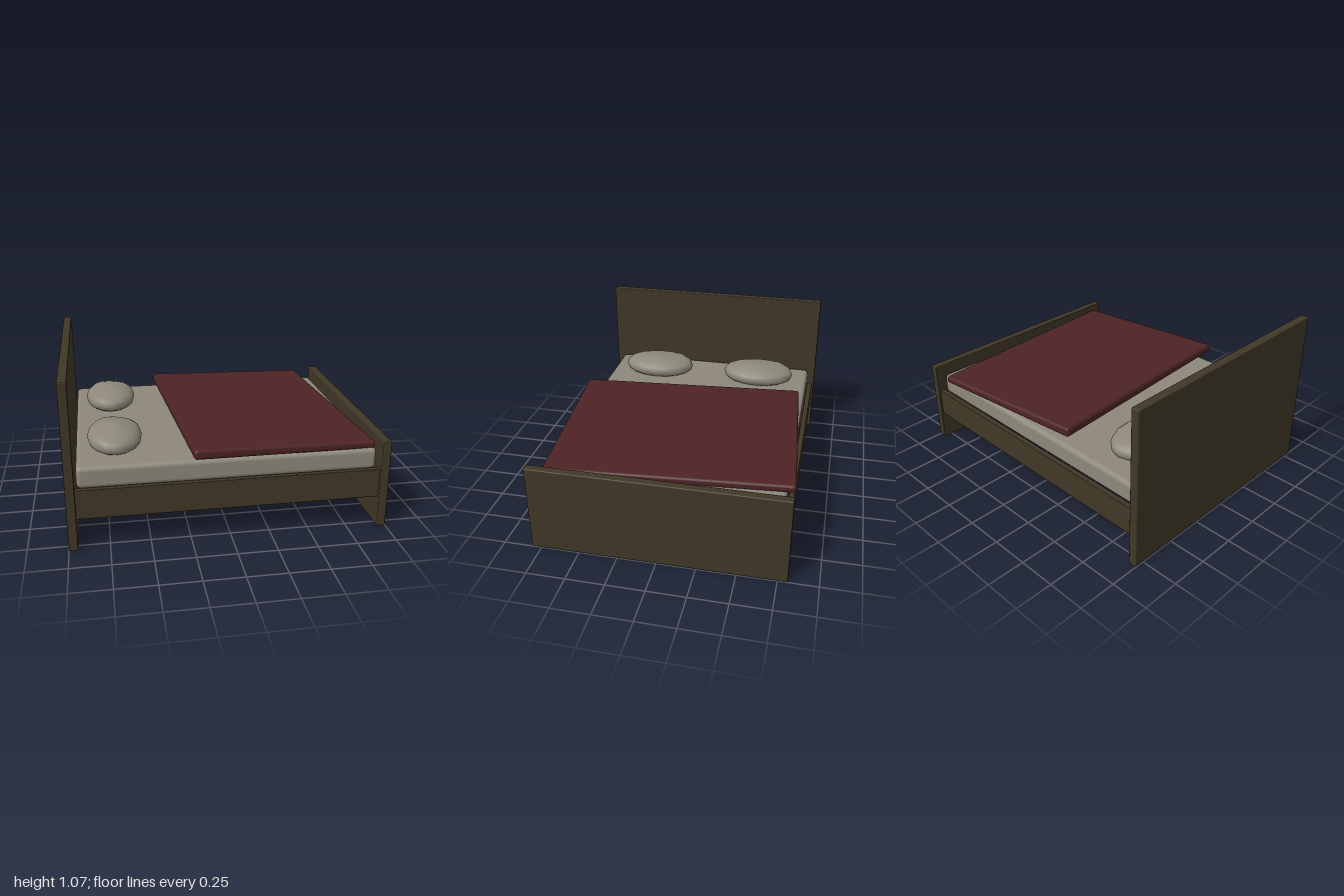
import * as THREE from 'three';
import { RoundedBoxGeometry } from 'three/addons/geometries/RoundedBoxGeometry.js';

const wood = new THREE.MeshStandardMaterial({ color: 0x403726 });
wood.name = 'dark wood';
const linen = new THREE.MeshStandardMaterial({ color: 0x8d887a });
linen.name = 'grey linen';
const red = new THREE.MeshStandardMaterial({ color: 0x4d2324 });
red.name = 'dark red wool';

// Softened block given by its minimum and maximum corners
function block(name, min, max, radius, segments, material) {
  const size = max.map((v, i) => v - min[i]);
  const mesh = new THREE.Mesh(new RoundedBoxGeometry(...size, segments, radius), material);
  mesh.position.set(...max.map((v, i) => (v + min[i]) / 2));
  mesh.name = name;
  return mesh;
}

// Lumpy cushion with a rounded outline and a flattened underside
function pillow(name, z, seed) {
  const geo = new THREE.SphereGeometry(1, 16, 10);
  const p = geo.attributes.position;
  for (let i = 0; i < p.count; i++) {
    const x = p.getX(i), y = p.getY(i), w = p.getZ(i);
    const lump = 0.05 * Math.sin(4 * x + seed) * Math.cos(3.5 * w - seed);
    const plump = Math.sign(y) * Math.pow(Math.abs(y), 0.8);
    const height = y > 0 ? plump * 0.074 * (1 + 2 * lump) : Math.max(plump * 0.075, -0.052);
    p.setXYZ(i, x * 0.174 * (1 + lump * 0.3), height, w * 0.262);
  }
  geo.computeVertexNormals();
  const mesh = new THREE.Mesh(geo, linen);
  mesh.position.set(-0.685, 0.567, z);
  mesh.name = name;
  return mesh;
}

// Stiff blanket, thinner towards the foot, lying askew
function blanket() {
  const length = 1.165;
  const geo = new RoundedBoxGeometry(length, 0.056, 1.545, 3, 0.02);
  const p = geo.attributes.position;
  for (let i = 0; i < p.count; i++) {
    const t = p.getX(i) / length;
    p.setY(i, p.getY(i) * (1.03 - 0.3 * t));
  }
  geo.computeVertexNormals();
  const mesh = new THREE.Mesh(geo, red);
  mesh.position.set(0.293, 0.557, 0);
  mesh.rotation.set(0.006, 0.073, -0.037, 'YXZ');
  mesh.name = 'blanket';
  return mesh;
}

export function createModel() {
  const bed = new THREE.Group();
  bed.name = 'bed';
  // Frame
  bed.add(
    block('headboard', [-1, 0, -0.813], [-0.944, 1.07, 0.813], 0.006, 1, wood),
    block('footboard', [0.944, 0, -0.813], [1, 0.583, 0.813], 0.006, 1, wood),
    block('frontRail', [-0.945, 0.2, 0.755], [0.945, 0.39, 0.79], 0.003, 1, wood),
    block('backRail', [-0.945, 0.2, -0.798], [0.945, 0.39, -0.763], 0.003, 1, wood),
  );
  // Bedding
  bed.add(
    block('mattress', [-0.932, 0.375, -0.76], [0.932, 0.515, 0.75], 0.03, 3, linen),
    pillow('frontPillow', 0.387, 0.6),
    pillow('backPillow', -0.39, 0.6),
    blanket(),
  );
  return bed;
}
